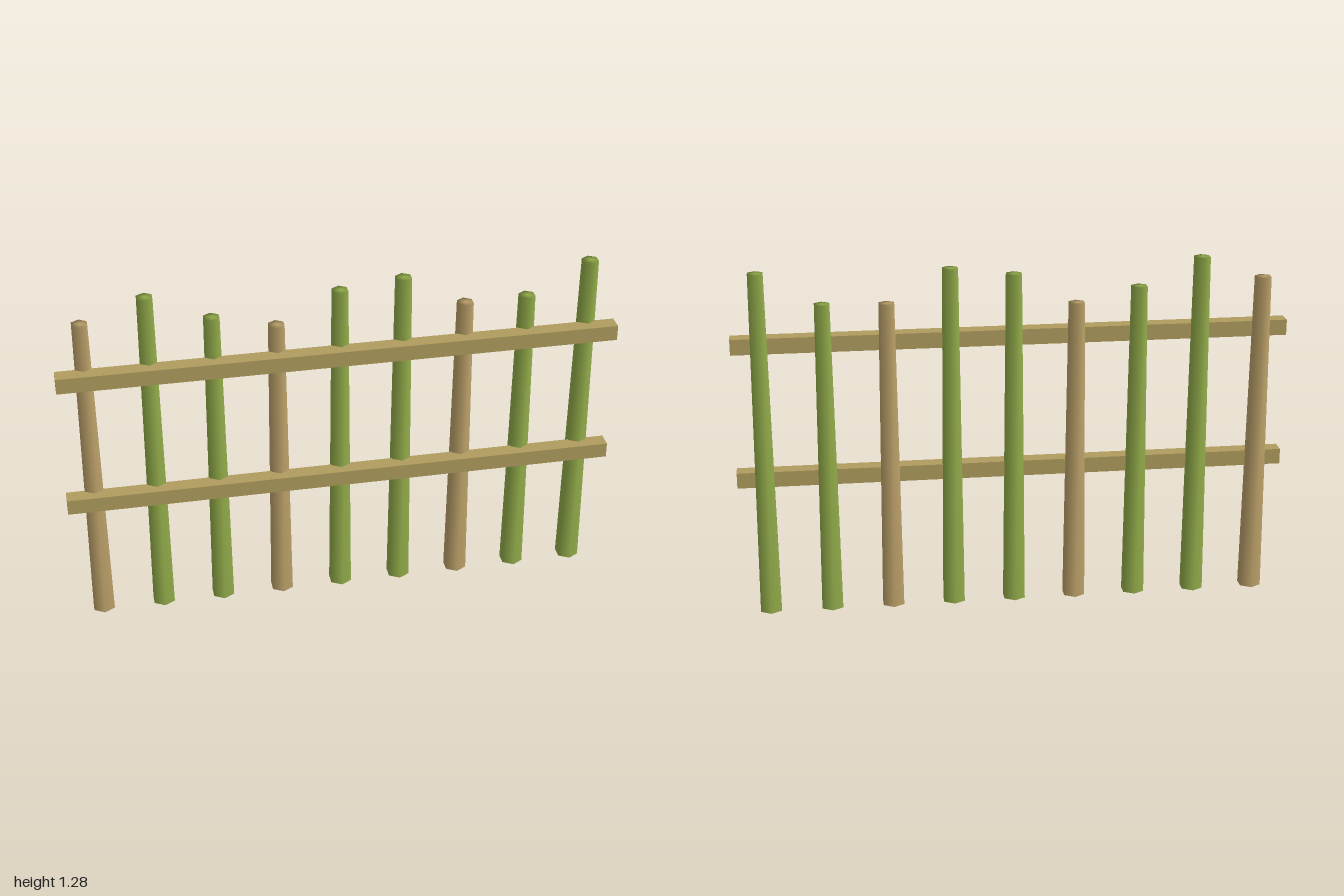
import * as THREE from 'three';
import { mergeVertices } from 'three/addons/utils/BufferGeometryUtils.js';

const green = new THREE.MeshStandardMaterial({ color: 0x93ad4a });
const tan = new THREE.MeshStandardMaterial({ color: 0xbda26a });
const railTan = new THREE.MeshStandardMaterial({ color: 0xb09c5e });

// Tapered six-sided cane; welded so the shading runs smoothly over the end caps
function caneGeometry(height) {
  const g = new THREE.CylinderGeometry(0.031, 0.044, height, 6);
  g.deleteAttribute('normal');
  g.deleteAttribute('uv');
  const welded = mergeVertices(g, 1e-4);
  welded.computeVertexNormals();
  return welded.translate(0, height / 2, 0);
}

export function createModel() {
  const fence = new THREE.Group();
  fence.name = 'bambooFence';

  // Upright canes of uneven height, every third one dried to tan
  const heights = [1.2, 1.28, 1.18, 1.128, 1.24, 1.267, 1.148, 1.153, 1.27];
  const dried = [0, 3, 6];
  heights.forEach((height, i) => {
    const cane = new THREE.Mesh(caneGeometry(height), dried.includes(i) ? tan : green);
    cane.name = `cane${i + 1}`;
    cane.position.set((i - 4) * 0.225, 0, -0.013);
    fence.add(cane);
  });

  // Two square rails along the front
  const railGeometry = new THREE.BoxGeometry(2, 0.057, 0.057);
  for (const [name, y] of [['lowerRail', 0.503], ['upperRail', 1.002]]) {
    const rail = new THREE.Mesh(railGeometry, railTan);
    rail.name = name;
    rail.position.set(0, y, 0.029);
    fence.add(rail);
  }
  return fence;
}
